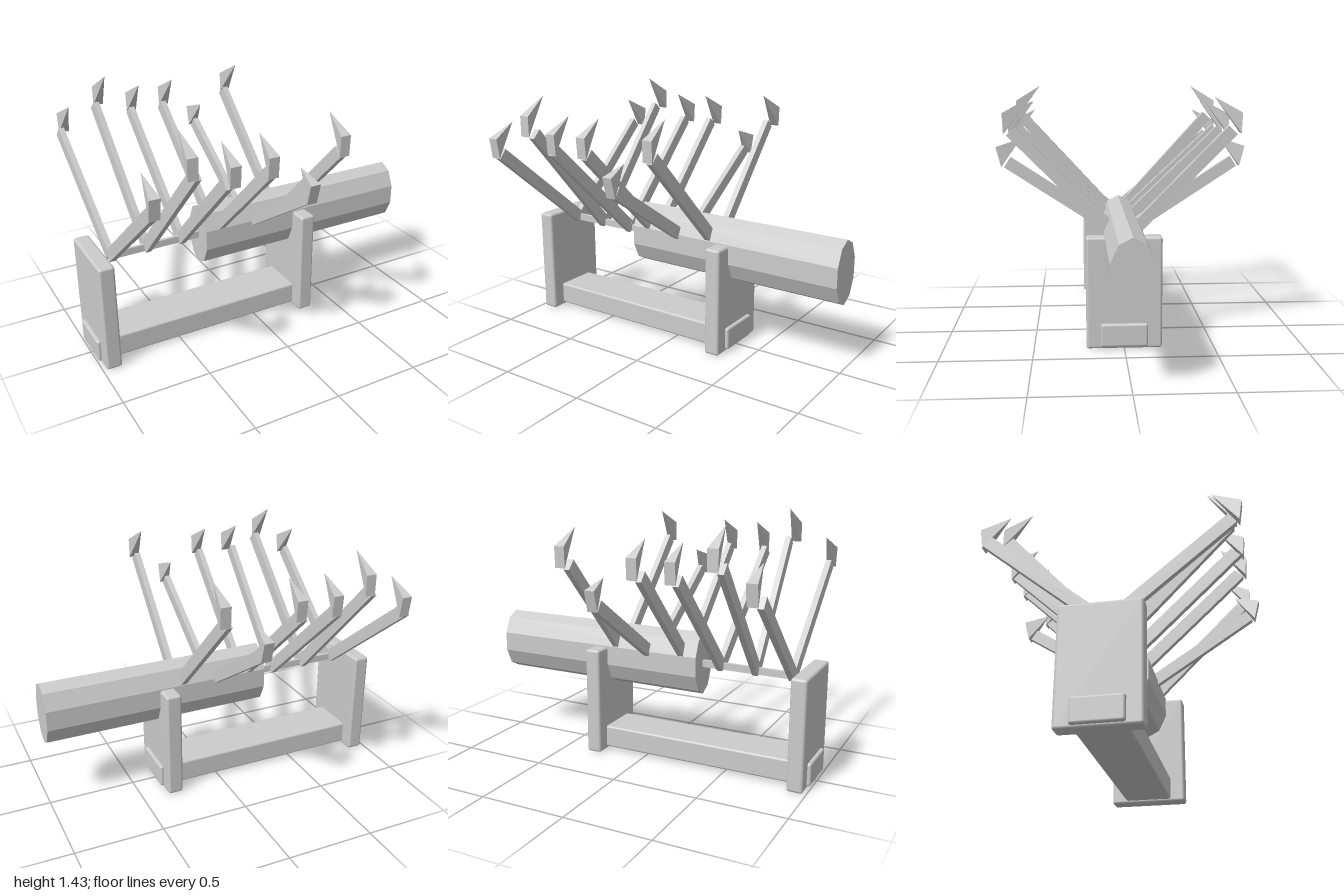
import * as THREE from 'three';
import { RoundedBoxGeometry } from 'three/addons/geometries/RoundedBoxGeometry.js';
import { ConvexGeometry } from 'three/addons/geometries/ConvexGeometry.js';

export function createModel() {
  const model = new THREE.Group();
  model.name = 'spikedLogTrap';
  const grey = new THREE.MeshStandardMaterial({ color: 0xcccccc });
  grey.name = 'lightGrey';

  const add = (name, geometry) => {
    const mesh = new THREE.Mesh(geometry, grey);
    mesh.name = name;
    model.add(mesh);
    return mesh;
  };
  const V = (x, y, z) => new THREE.Vector3(x, y, z);

  // Stand: two upright plates joined by a beam through their feet
  for (const [name, x] of [['rightPost', -0.935], ['leftPost', 0.305]]) {
    add(name, new RoundedBoxGeometry(0.09, 0.63, 0.42, 2, 0.015)).position.set(x, 0.315, 0);
  }
  add('baseBeam', new RoundedBoxGeometry(1.37, 0.13, 0.26, 2, 0.012)).position.set(-0.315, 0.08, 0);

  // Ten-sided oval log with flat faces
  let log = new THREE.CylinderGeometry(1, 1, 1.31, 10);
  log.rotateX(Math.PI / 2).rotateY(Math.PI / 2).scale(1, 0.182, 0.115);
  log = log.toNonIndexed();
  log.computeVertexNormals();
  add('log', log).position.set(0.345, 0.58, 0);

  // Thin rod carrying the spikes beyond the log
  add('axleRod', new THREE.BoxGeometry(0.56, 0.04, 0.02)).position.set(-0.57, 0.58, 0);

  // Arm: a flat bar stretched from one point to another
  const addArm = (name, from, to) => {
    const along = to.clone().sub(from);
    const arm = add(name, new THREE.BoxGeometry(0.033, 0.068, along.length()));
    const zAxis = along.clone().normalize();
    const xAxis = V(0, 1, 0).cross(zAxis).normalize();
    const yAxis = zAxis.clone().cross(xAxis);
    arm.quaternion.setFromRotationMatrix(new THREE.Matrix4().makeBasis(xAxis, yAxis, zAxis));
    arm.position.copy(from).lerp(to, 0.5);
  };

  // Head: pyramid with its base facing outward and its tip turned in and up
  const addHead = (name, x, side, tip, top, bottom) => {
    const points = [V(x, tip[0], side * tip[1])];
    for (const dx of [-0.029, 0.029]) {
      points.push(V(x + dx, top[0], side * top[1]), V(x + dx, bottom[0], side * bottom[1]));
    }
    add(name, new ConvexGeometry(points));
  };

  // x, tip y, tip z, base top y, base outer z, arm end x in front, arm end x behind
  const pairs = [
    [-0.84, 1.27, 0.53, 1.195, 0.683, -0.84, -0.872],
    [-0.63, 1.43, 0.487, 1.335, 0.64, -0.597, -0.662],
    [-0.42, 1.34, 0.515, 1.26, 0.667, -0.443, -0.44],
    [-0.21, 1.345, 0.515, 1.265, 0.665, -0.21, -0.237],
    [0, 1.14, 0.572, 1.093, 0.714, 0, -0.005],
    [0.21, 1.38, 0.502, 1.295, 0.656, 0.21, 0.182],
  ];
  for (const [x, tipY, tipZ, topY, outZ, frontX, backX] of pairs) {
    const bottomY = topY - 0.113;
    const bottomZ = outZ - 0.1 * (1.43 - tipY);
    const centre = new THREE.Vector2((outZ + bottomZ) / 2, (topY + bottomY) / 2);
    const angle = Math.atan2(centre.y - 0.58, centre.x);
    const endZ = centre.x - 0.057 * Math.cos(angle);
    const endY = centre.y - 0.057 * Math.sin(angle);
    for (const side of [1, -1]) {
      const where = side > 0 ? 'front' : 'back';
      addArm(where + 'Arm', V(x, 0.58, 0), V(side > 0 ? frontX : backX, endY, side * endZ));
      addHead(where + 'Spike', x, side, [tipY, tipZ], [topY, outZ], [bottomY, bottomZ]);
    }
  }
  return model;
}
